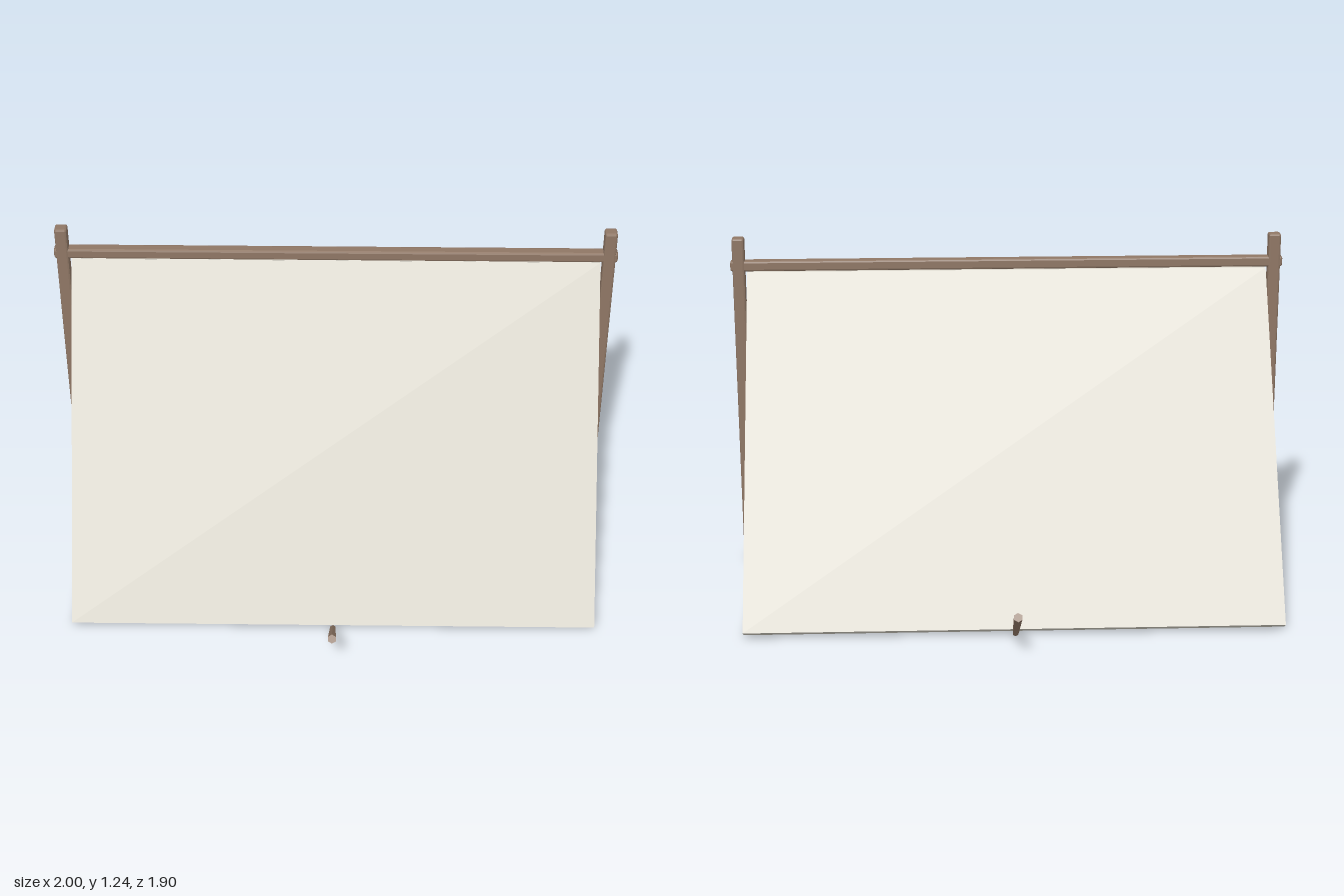
import * as THREE from 'three';
import { RoundedBoxGeometry } from 'three/addons/geometries/RoundedBoxGeometry.js';

const flatMaterial = (name, color) => {
  const material = new THREE.MeshStandardMaterial({ color });
  material.name = name;
  return material;
};

// Extrude a (z, y) outline along x, centred on x = 0
function prism(points, length) {
  const shape = new THREE.Shape(points.map(([z, y]) => new THREE.Vector2(-z, y)));
  const geometry = new THREE.ExtrudeGeometry(shape, { depth: length, bevelEnabled: false });
  geometry.translate(0, 0, -length / 2);
  return geometry.rotateY(Math.PI / 2);
}

// Timber with narrow flat chamfers
function beam(w, h, d) {
  const geometry = new RoundedBoxGeometry(w, h, d, 1, 0.007);
  geometry.computeVertexNormals();
  return geometry;
}

export function createModel() {
  const tent = new THREE.Group();
  tent.name = 'tent';
  const canvas = flatMaterial('canvas', 0xcfcbc0);
  const red = flatMaterial('red cloth', 0xd88e88);
  const wood = flatMaterial('wood', 0x8f7765);

  const add = (name, geometry, material, x = 0, y = 0, z = 0) => {
    const mesh = new THREE.Mesh(geometry, material);
    mesh.name = name;
    mesh.position.set(x, y, z);
    tent.add(mesh);
    return mesh;
  };

  // Sloping roof sheets, crossing at the ridge
  const sheet = prism([[0.735, 0.025], [0.705, 0.005], [-0.015, 1.1], [0.015, 1.12]], 1.88);
  add('frontSheet', sheet, canvas);
  add('backSheet', sheet, canvas).rotation.y = Math.PI;

  // Triangular end walls: red on the left, canvas on the right; no floor
  const wall = prism([[-0.692, 0.025], [0.692, 0.025], [0, 1.077]], 0.008);
  add('leftEndWall', wall, red, 0.935);
  add('rightEndWall', wall, canvas, -0.935);

  // Posts and ridge pole
  const post = beam(0.044, 1.23, 0.044);
  add('leftPost', post, wood, 0.97, 0.63);
  add('rightPost', post, wood, -0.97, 0.63);
  add('ridgePole', beam(2, 0.038, 0.04), wood, 0, 1.142);

  // Tapered pegs leaning outward from the foot of each sheet
  const pegLength = Math.hypot(0.205, 0.15);
  const peg = new THREE.CylinderGeometry(0.016, 0.011, pegLength, 6).toNonIndexed();
  peg.computeVertexNormals();
  for (const [name, side] of [['frontPeg', 1], ['backPeg', -1]]) {
    add(name, peg, wood, 0, 0.085, side * 0.8375).rotation.x = side * Math.atan2(0.205, 0.15);
  }
  return tent;
}
